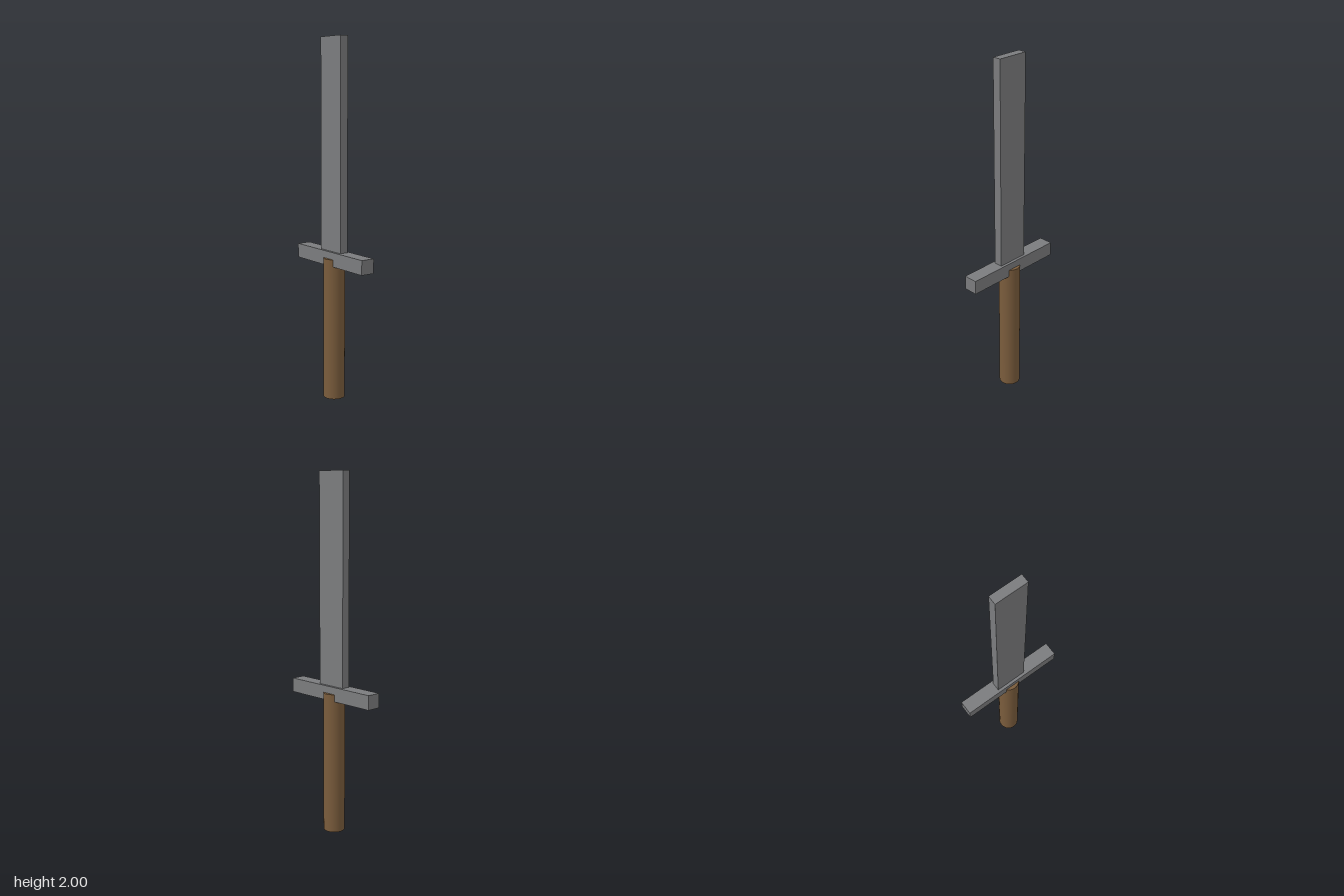
import * as THREE from 'three';

export function createModel() {
  const model = new THREE.Group();
  model.name = 'sword';

  const steel = new THREE.MeshStandardMaterial({ color: 0x7b7c7e });
  steel.name = 'steel grey';
  const wood = new THREE.MeshStandardMaterial({ color: 0x7a5c3c });
  wood.name = 'wood brown';

  // Adds a named part whose underside sits at height bottom
  const addPart = (name, geometry, material, bottom, height) => {
    const mesh = new THREE.Mesh(geometry, material);
    mesh.name = name;
    mesh.position.y = bottom + height / 2;
    model.add(mesh);
  };

  // Round grip, reaching into the guard
  addPart('handle', new THREE.CylinderGeometry(0.06, 0.06, 0.8, 32), wood, 0, 0.8);

  // Square crossbar
  addPart('guard', new THREE.BoxGeometry(0.6, 0.08, 0.08), steel, 0.76, 0.08);

  // Flat blade with a square end
  addPart('blade', new THREE.BoxGeometry(0.18, 1.2, 0.048), steel, 0.8, 1.2);

  return model;
}
